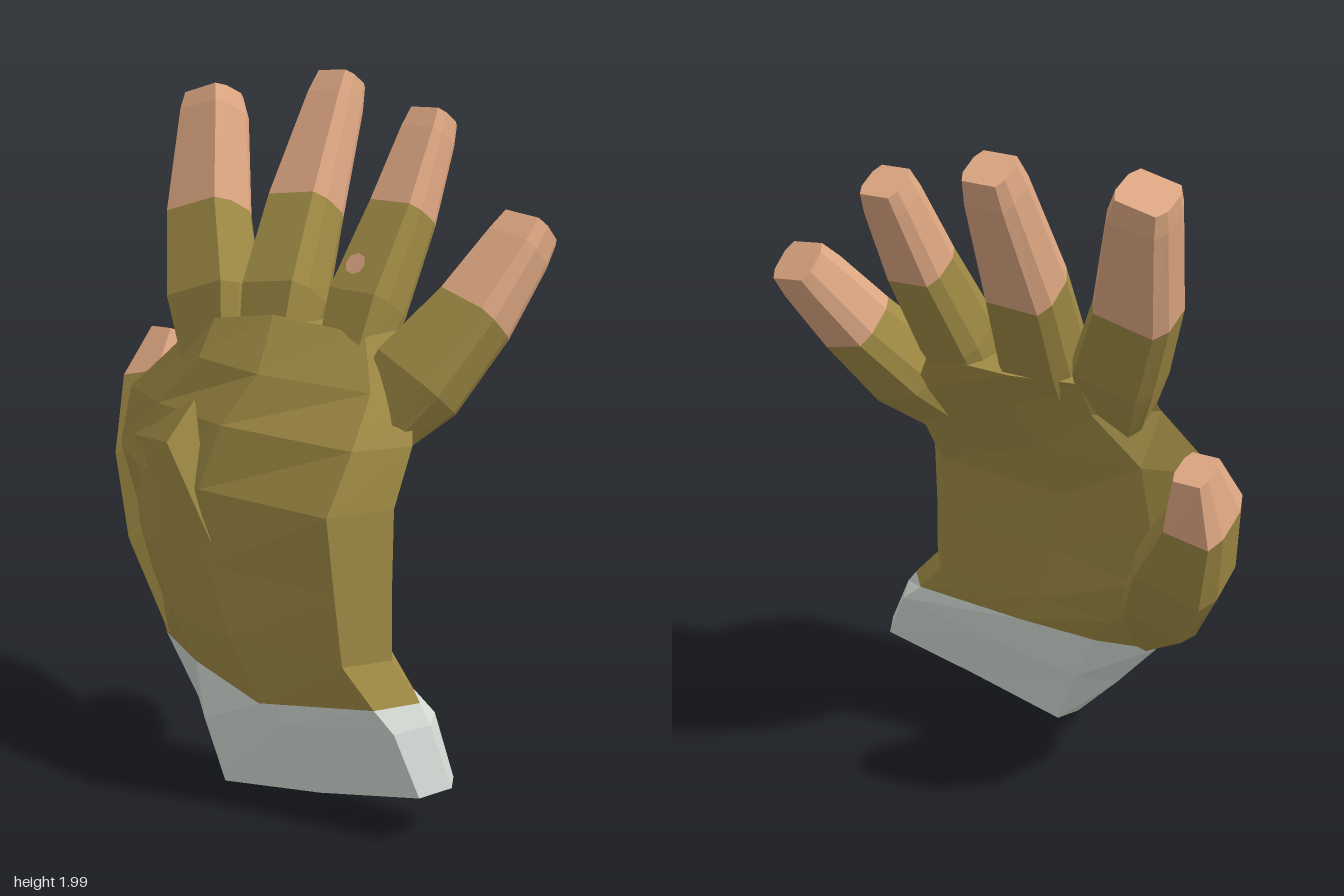
import * as THREE from 'three';

const V = (x, y, z) => new THREE.Vector3(x, y, z);

function material(name, color) {
  const m = new THREE.MeshStandardMaterial({ color, flatShading: true });
  m.name = name;
  return m;
}

// Joins rings of points into a faceted skin, with optional end caps
function loft(rings, capStart, capEnd) {
  const pos = [];
  const tri = (...pts) => pts.forEach((p) => pos.push(p.x, p.y, p.z));
  const n = rings[0].length;
  for (let i = 0; i < rings.length - 1; i++) {
    for (let j = 0; j < n; j++) {
      const k = (j + 1) % n;
      tri(rings[i][j], rings[i][k], rings[i + 1][k]);
      tri(rings[i][j], rings[i + 1][k], rings[i + 1][j]);
    }
  }
  const cap = (ring, up) => {
    const c = ring.reduce((s, p) => s.add(p), V(0, 0, 0)).divideScalar(n);
    for (let j = 0; j < n; j++) {
      const a = ring[j], b = ring[(j + 1) % n];
      if (up) tri(c, a, b); else tri(c, b, a);
    }
  };
  if (capStart) cap(rings[0], false);
  if (capEnd) cap(rings[rings.length - 1], true);
  const g = new THREE.BufferGeometry();
  g.setAttribute('position', new THREE.Float32BufferAttribute(pos, 3));
  g.computeVertexNormals();
  return g;
}

// Hand cross-section: thumb-side point, outer point, front depths, back depths, front sag
function handRing(left, right, front, back, sag = [0, 0, 0], t = [0.2, 0.5, 0.92]) {
  const L = V(...left), R = V(...right);
  const at = (i, z, drop) => {
    const p = L.clone().lerp(R, t[i]);
    return V(p.x, p.y - drop, z);
  };
  return [L, ...front.map((z, i) => at(i, z, sag[i])), R,
    ...[2, 1, 0].map((i) => at(i, back[i], 0))];
}

// Chamfered finger sections; station = [x, y, z, half width, half thickness]
const SECTION = [[-1, -0.5], [-1, 0.5], [-0.78, 1], [0.78, 1], [1, 0.5], [1, -0.5], [0.78, -1], [-0.78, -1]];
function fingerFrame(stations, i) {
  const p = (k) => V(...stations[Math.max(0, Math.min(stations.length - 1, k))].slice(0, 3));
  const dir = p(i + 1).sub(p(i - 1)).normalize();
  const wide = V(1, 0, 0).addScaledVector(dir, -dir.x).normalize();
  return { centre: p(i), wide, out: wide.clone().cross(dir) };
}
function fingerRings(stations) {
  return stations.map((s, i) => {
    const { centre, wide, out } = fingerFrame(stations, i);
    return SECTION.map(([a, b]) => centre.clone().addScaledVector(wide, a * s[3]).addScaledVector(out, b * s[4]));
  });
}

export function createModel() {
  const glove = material('olive glove', 0xa08b45);
  const skin = material('skin', 0xdfa883);
  const knit = material('pale grey cuff', 0xd0d7d1);
  const hand = new THREE.Group();
  hand.name = 'glovedHand';
  const add = (name, geometry, mat, parent = hand) => {
    const m = new THREE.Mesh(geometry, mat);
    m.name = name;
    parent.add(m);
    return m;
  };

  // Cuff and palm share one ring at the wrist; the cuff's lower end is slightly hollow
  const wrist = handRing([-0.33, 0.35, 0.23], [0.59, 0.35, 0.26], [0.31, 0.37, 0.37], [0.18, 0.17, 0.18], [0.03, 0.075, 0.005]);
  const square = [0.04, 0.5, 0.94];
  add('cuff', loft([
    handRing([0.03, 0.08, 0.28], [0.62, 0.19, 0.27], [0.34, 0.34, 0.33], [0.22, 0.22, 0.21], [0, 0, 0], square),
    handRing([-0.03, 0.0, 0.28], [0.7, 0.14, 0.27], [0.36, 0.36, 0.36], [0.2, 0.2, 0.19], [0, 0.01, 0], square),
    handRing([-0.19, 0.18, 0.25], [0.63, 0.3, 0.27], [0.36, 0.375, 0.37], [0.18, 0.17, 0.17], [0.02, 0.01, 0], [0.14, 0.5, 0.94]),
    wrist,
  ], true, false), knit);

  add('palm', loft([
    wrist,
    handRing([-0.41, 0.47, 0.18], [0.5, 0.45, 0.26], [0.32, 0.395, 0.39], [0.13, 0.15, 0.17]),
    handRing([-0.55, 0.65, 0.11], [0.49, 0.65, 0.25], [0.3, 0.39, 0.4], [0.07, 0.14, 0.165]),
    handRing([-0.62, 0.86, 0.1], [0.48, 0.86, 0.23], [0.26, 0.38, 0.415], [0.03, 0.11, 0.14]),
    handRing([-0.57, 1.05, 0.1], [0.49, 1.02, 0.16], [0.22, 0.32, 0.32], [0.04, 0.05, 0.06]),
    handRing([-0.38, 1.2, 0.11], [0.44, 1.15, 0.09], [0.2, 0.24, 0.19], [0.0, -0.02, -0.02]),
    handRing([-0.34, 1.3, 0.06], [0.34, 1.29, 0.03], [0.14, 0.13, 0.09], [-0.05, -0.09, -0.07], [0, -0.03, 0]),
  ], false, true), glove);

  // Raised pad at the root of the thumb, with its fold towards the palm centre
  const [a, b, c, d, e] = [V(-0.47, 0.93, 0.2), V(-0.16, 1.09, 0.285), V(-0.18, 0.98, 0.385), V(-0.02, 0.72, 0.39), V(-0.25, 0.6, 0.33)];
  const pad = new THREE.BufferGeometry().setFromPoints([a, c, b, c, d, b, a, e, c, e, d, c]);
  pad.computeVertexNormals();
  add('thumbPad', pad, glove);

  // Fingers: gloved stations up to the hem, bare stations beyond it
  const fingers = {
    indexFinger: {
      hem: 2,
      s: [[-0.24, 1.15, 0.1, 0.09, 0.06], [-0.285, 1.34, 0.04, 0.125, 0.105], [-0.39, 1.57, -0.065, 0.112, 0.095],
        [-0.46, 1.86, -0.18, 0.085, 0.085], [-0.477, 1.915, -0.2, 0.073, 0.072]],
    },
    middleFinger: {
      hem: 2,
      s: [[-0.04, 1.15, 0.1, 0.09, 0.06], [-0.055, 1.36, 0.0, 0.11, 0.1], [-0.1, 1.6, -0.16, 0.1, 0.088],
        [-0.12, 1.9, -0.335, 0.072, 0.07], [-0.122, 1.965, -0.37, 0.062, 0.058]],
    },
    ringFinger: {
      hem: 2,
      s: [[0.21, 1.15, 0.09, 0.08, 0.06], [0.222, 1.36, -0.015, 0.098, 0.09], [0.24, 1.6, -0.16, 0.085, 0.078],
        [0.246, 1.81, -0.275, 0.068, 0.065], [0.247, 1.865, -0.305, 0.058, 0.058]],
    },
    littleFinger: {
      hem: 2,
      s: [[0.34, 1.02, 0.14, 0.09, 0.05], [0.43, 1.17, 0.05, 0.125, 0.1], [0.53, 1.35, -0.08, 0.1, 0.09],
        [0.585, 1.52, -0.21, 0.082, 0.075], [0.598, 1.575, -0.255, 0.072, 0.065]],
    },
    thumb: {
      hem: 3,
      s: [[-0.28, 0.36, 0.23, 0.03, 0.02], [-0.42, 0.6, 0.1, 0.12, 0.09], [-0.53, 0.82, -0.01, 0.13, 0.125],
        [-0.62, 1.03, -0.1, 0.085, 0.11], [-0.62, 1.18, -0.155, 0.05, 0.06]],
    },
  };
  for (const [name, { hem, s }] of Object.entries(fingers)) {
    const rings = fingerRings(s);
    const group = new THREE.Group();
    group.name = name;
    add(name + 'Sleeve', loft(rings.slice(0, hem + 1), true, false), glove, group);
    add(name + 'Tip', loft(rings.slice(hem), false, true), skin, group);
    hand.add(group);
  }

  // Small worn hole on the front of the ring finger
  const s = fingers.ringFinger.s;
  const { wide, out } = fingerFrame(s, 1);
  const hole = add('wornHole', new THREE.CircleGeometry(0.032, 8), skin);
  hole.position.copy(V(...s[1]).lerp(V(...s[2]), 0.28))
    .addScaledVector(out, 0.094).addScaledVector(wide, -0.02);
  hole.quaternion.setFromUnitVectors(V(0, 0, 1), out);

  return hand;
}
